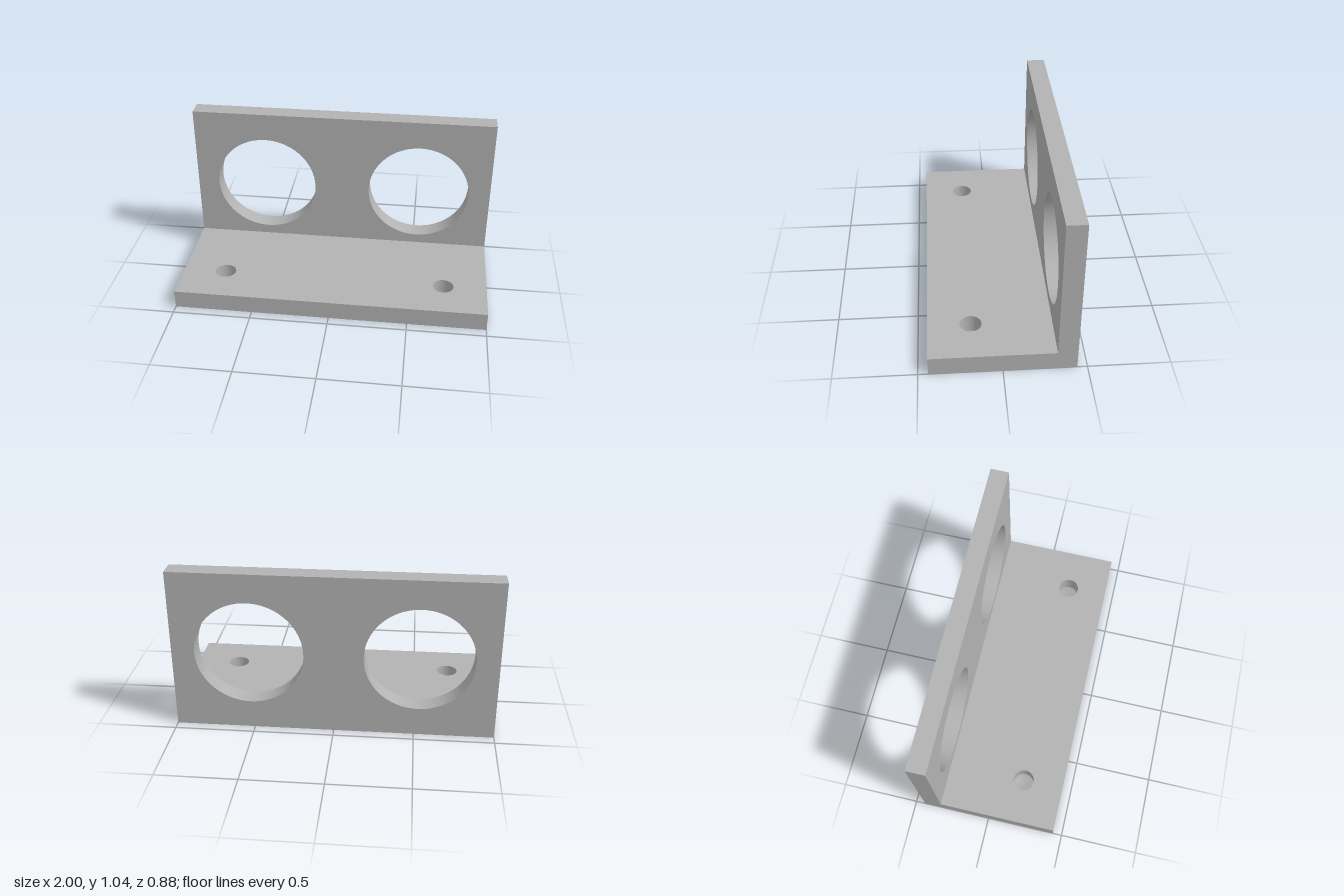
import * as THREE from 'three';
import { toCreasedNormals } from 'three/addons/utils/BufferGeometryUtils.js';

const WIDTH = 2, HEIGHT = 1.04, DEPTH = 0.88, THICK = 0.12;

// Rectangular plate from v0 to v1 with a mirrored pair of round holes
function drilledPlate(v0, v1, holeX, holeV, radius) {
  const w = WIDTH / 2;
  const shape = new THREE.Shape([
    new THREE.Vector2(-w, v0), new THREE.Vector2(w, v0),
    new THREE.Vector2(w, v1), new THREE.Vector2(-w, v1),
  ]);
  for (const side of [-1, 1]) {
    shape.holes.push(new THREE.Path().absarc(side * holeX, holeV, radius, 0, Math.PI * 2, true));
  }
  const plate = new THREE.ExtrudeGeometry(shape, { depth: THICK, bevelEnabled: false, curveSegments: 64 });
  return toCreasedNormals(plate, Math.PI / 6);
}

export function createModel() {
  const group = new THREE.Group();
  group.name = 'angleBracket';
  const metal = new THREE.MeshStandardMaterial({ color: 0xb2b2b2 });
  metal.name = 'grey metal';

  // Upright plate with two large openings
  const upright = new THREE.Mesh(drilledPlate(0, HEIGHT, 0.52, 0.52, 0.337), metal);
  upright.name = 'uprightPlate';
  upright.position.z = -DEPTH / 2;

  // Base plate with two screw holes, laid flat in front of the upright
  const baseGeometry = drilledPlate(-DEPTH / 2 + THICK, DEPTH / 2, 0.72, 0.177, 0.067);
  baseGeometry.rotateX(Math.PI / 2);
  const base = new THREE.Mesh(baseGeometry, metal);
  base.name = 'basePlate';
  base.position.y = THICK;

  group.add(upright, base);
  return group;
}
